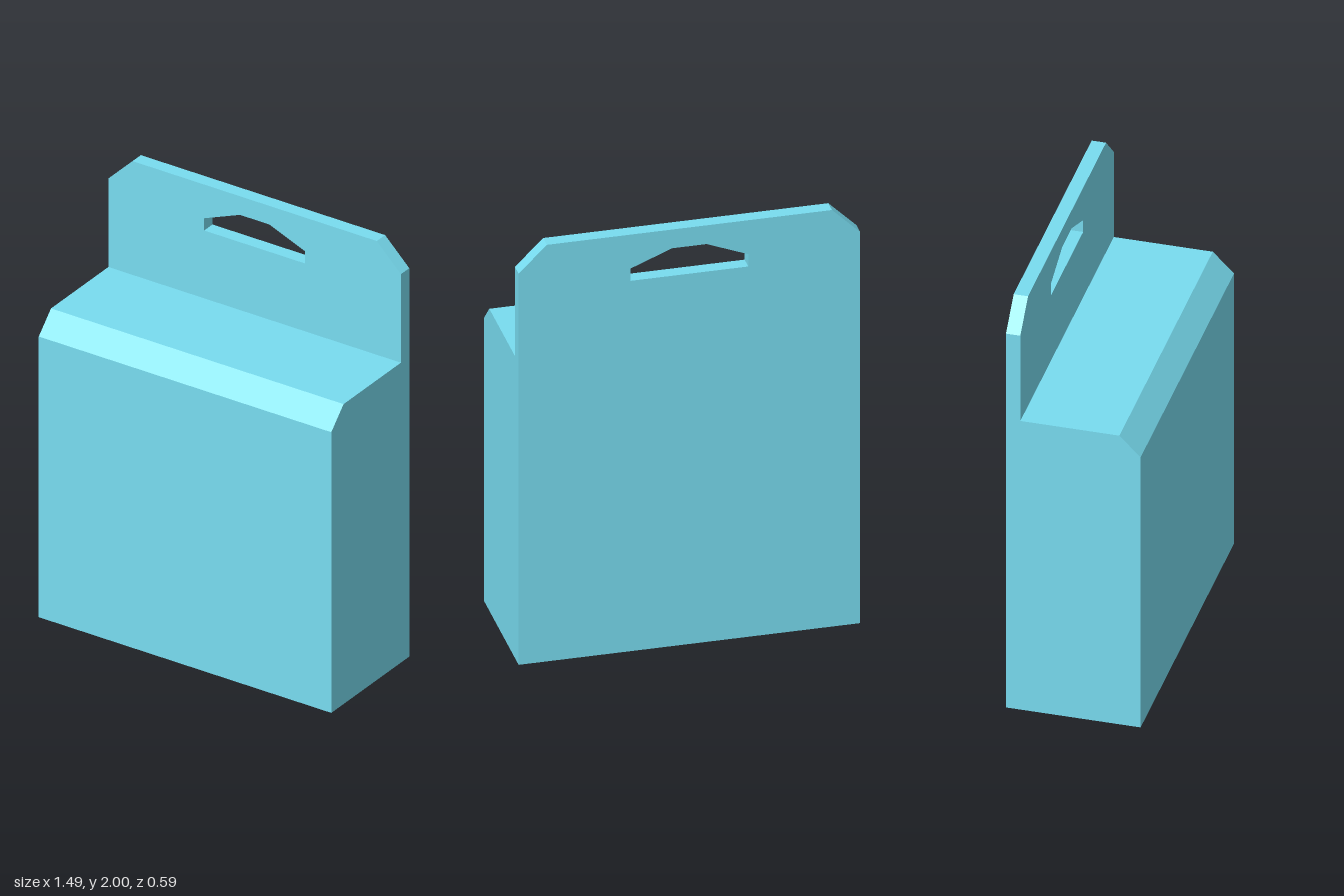
import * as THREE from 'three';

const W = 0.745;      // half width
const D = 0.295;      // half depth
const SHOULDER = 1.45; // top of the box body
const TAB = 0.063;    // thickness of the hanging tab

const points = (list) => list.map(([x, y]) => new THREE.Vector2(x, y));
const extrude = (shape, depth) =>
  new THREE.ExtrudeGeometry(shape, { depth, bevelEnabled: false });

export function createModel() {
  const group = new THREE.Group();
  group.name = 'hangTabBox';
  const material = new THREE.MeshStandardMaterial({ color: 0x78dcf0, flatShading: true });

  const add = (name, geometry) => {
    const mesh = new THREE.Mesh(geometry, material);
    mesh.name = name;
    group.add(mesh);
  };

  // Box body: side profile (z, y) with a chamfered front top edge, run across x
  const profile = new THREE.Shape(points([
    [-D, 0], [D, 0], [D, 1.357], [0.202, SHOULDER], [-D, SHOULDER],
  ]));
  const body = extrude(profile, 2 * W);
  body.rotateY(-Math.PI / 2).translate(W, 0, 0);
  add('boxBody', body);

  // Hanging tab: clipped top corners and a hanger slot, flush with the back
  const tabShape = new THREE.Shape(points([
    [-W, SHOULDER], [W, SHOULDER], [W, 1.878], [0.622, 2], [-0.622, 2], [-W, 1.878],
  ]));
  tabShape.holes.push(new THREE.Path(points([
    [-0.257, 1.778], [-0.257, 1.837], [-0.075, 1.91],
    [0.075, 1.91], [0.257, 1.837], [0.257, 1.778],
  ])));
  const tab = extrude(tabShape, TAB);
  tab.translate(0, 0, -D);
  add('hangingTab', tab);

  return group;
}
